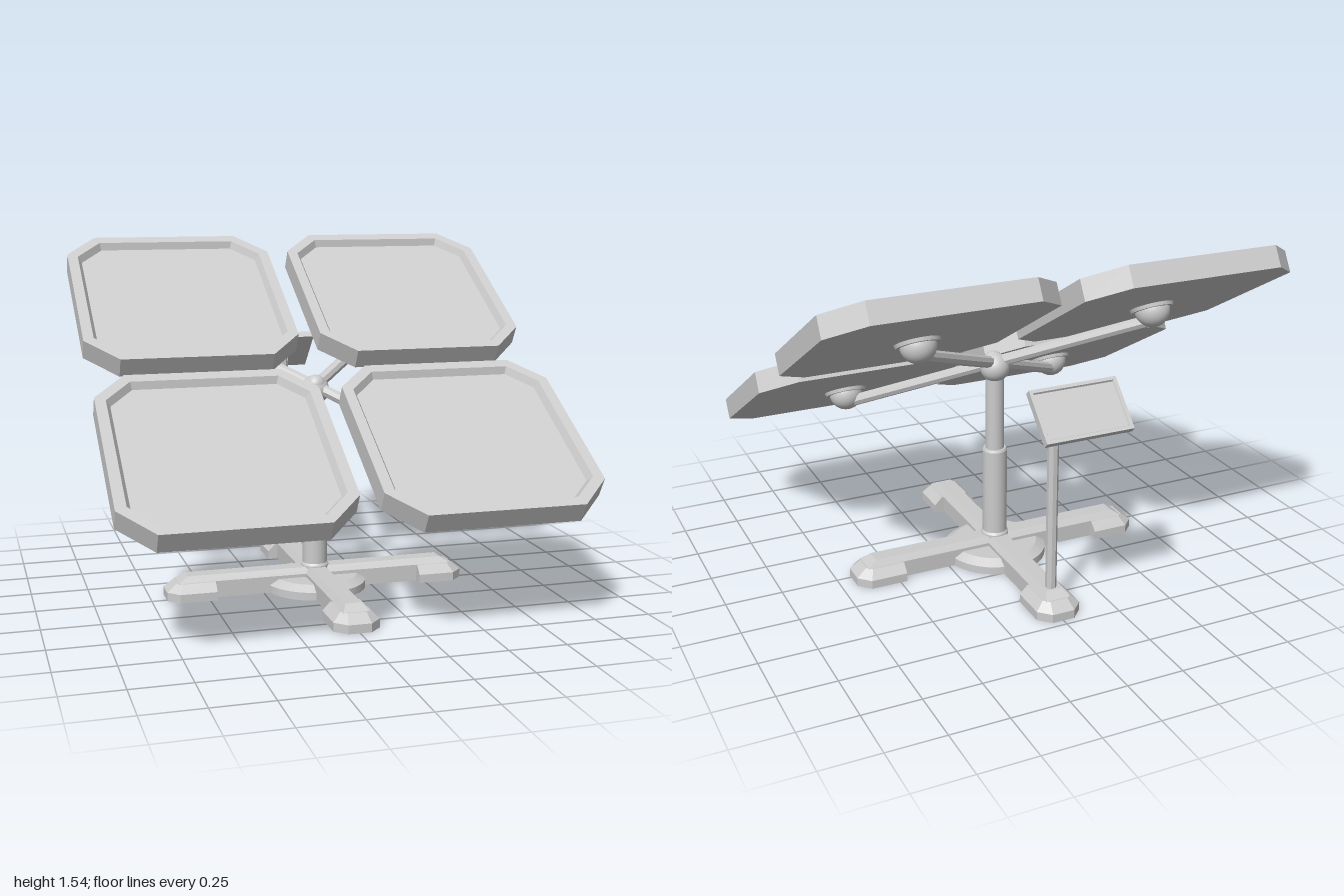
import * as THREE from 'three';

const grey = new THREE.MeshStandardMaterial({ color: 0xcccccc });

function add(parent, name, geo, x = 0, y = 0, z = 0) {
  const mesh = new THREE.Mesh(geo, grey);
  mesh.name = name;
  mesh.position.set(x, y, z);
  parent.add(mesh);
  return mesh;
}

// Flat-faced solid through a stack of horizontal rings (counterclockwise from above)
function loft(rings) {
  const pos = [];
  const tri = (a, b, c) => pos.push(...a, ...b, ...c);
  const n = rings[0].length;
  const last = rings[rings.length - 1];
  for (let k = 0; k < rings.length - 1; k++) {
    for (let i = 0; i < n; i++) {
      const j = (i + 1) % n, lo = rings[k], hi = rings[k + 1];
      tri(lo[i], lo[j], hi[j]);
      tri(lo[i], hi[j], hi[i]);
    }
  }
  for (let i = 1; i < n - 1; i++) {
    tri(rings[0][0], rings[0][i + 1], rings[0][i]);
    tri(last[0], last[i], last[i + 1]);
  }
  const geo = new THREE.BufferGeometry();
  geo.setAttribute('position', new THREE.Float32BufferAttribute(pos, 3));
  geo.computeVertexNormals();
  return geo;
}

// Rectangle with cut corners, and a plain rectangle
const cutRect = (w, d, c, y) => [
  [w, y, d - c], [w, y, c - d], [w - c, y, -d], [c - w, y, -d],
  [-w, y, c - d], [-w, y, d - c], [c - w, y, d], [w - c, y, d],
];
const rect = (w, d, y) => [[w, y, d], [w, y, -d], [-w, y, -d], [-w, y, d]];

// Foot outline: square inner end, cut outer corners
const footRing = (x, w, c, y) => [
  [x, y, w - c], [x, y, c - w], [x - c, y, -w], [0.47, y, -w], [0.47, y, w], [x - c, y, w],
];

// Straight faceted bar between two points
function bar(parent, name, a, b, radius, sides = 8) {
  const dir = b.clone().sub(a);
  const geo = new THREE.CylinderGeometry(radius, radius, dir.length(), sides).toNonIndexed();
  geo.rotateY(Math.PI / sides);
  geo.computeVertexNormals();
  const mesh = add(parent, name, geo);
  mesh.position.copy(a).add(b).multiplyScalar(0.5);
  mesh.quaternion.setFromUnitVectors(new THREE.Vector3(0, 1, 0), dir.normalize());
  return mesh;
}

function makeBase() {
  const base = new THREE.Group();
  base.name = 'base';
  add(base, 'centreDisc', new THREE.CylinderGeometry(0.19, 0.23, 0.025, 32), 0, 0.0475, 0);
  add(base, 'centreDiscRim', new THREE.CylinderGeometry(0.23, 0.23, 0.035, 32), 0, 0.0175, 0);
  const footGeo = loft([
    footRing(0.684, 0.1, 0.05, 0),
    footRing(0.684, 0.1, 0.05, 0.038),
    footRing(0.64, 0.065, 0.025, 0.074),
  ]);
  const beamGeo = loft([rect(0.63, 0.055, 0), rect(0.63, 0.055, 0.074), rect(0.59, 0.035, 0.1)]);
  for (let i = 0; i < 4; i++) {
    add(base, 'foot', footGeo).rotation.y = i * Math.PI / 2;
    if (i < 2) add(base, 'crossBeam', beamGeo).rotation.y = i * Math.PI / 2;
  }
  return base;
}

function makePanels() {
  const head = new THREE.Group();
  head.name = 'panelArray';
  const w = 0.475, d = 0.473, c = 0.14, t = 0.046;
  const ring = (s, y) => cutRect(w - s, d - s, c - 0.586 * s, y);
  const panelGeo = loft([ring(0, -t), ring(0, t), ring(0.046, t), ring(0.064, t - 0.03)]);
  const domeGeo = new THREE.SphereGeometry(0.075, 28, 14, 0, Math.PI * 2, Math.PI / 2, Math.PI / 2);
  const flangeGeo = new THREE.CylinderGeometry(0.095, 0.09, 0.016, 28);
  for (const sx of [-1, 1]) {
    for (const sz of [-1, 1]) {
      const x = sx * 0.525, z = sz * 0.526;
      add(head, 'panel', panelGeo, x, 0.121, z);
      add(head, 'mountFlange', flangeGeo, x, 0.068, z);
      add(head, 'mountDome', domeGeo, x, 0.062, z);
      bar(head, 'arm', new THREE.Vector3(0, 0.02, 0), new THREE.Vector3(x, 0.02, z), 0.026);
    }
  }
  // Hub where the four arms meet
  add(head, 'hubBall', new THREE.SphereGeometry(0.065, 28, 18));
  add(head, 'hubCap', new THREE.SphereGeometry(0.045, 24, 14), 0, 0.028, 0);
  head.position.y = 0.9;
  head.rotation.x = Math.PI / 6;
  return head;
}

function makeConsole() {
  const stand = new THREE.Group();
  stand.name = 'console';
  const z = -0.562;
  const v = (y, zz) => new THREE.Vector3(0, y, zz);
  bar(stand, 'consolePost', v(0.09, z), v(0.985, z), 0.024);
  bar(stand, 'consoleArm', v(0.968, z + 0.015), v(0.968, -0.775), 0.023);
  const r = (s, y) => rect(0.19 - s, 0.114 - s, y);
  const screen = add(stand, 'screen',
    loft([r(0, -0.016), r(0, 0.016), r(0.014, 0.016), r(0.018, 0.008)]), 0, 0.983, -0.784);
  screen.rotation.x = -Math.PI / 4;
  return stand;
}

export function createModel() {
  const model = new THREE.Group();
  model.name = 'solarPanelStand';
  const body = new THREE.Group();
  body.name = 'body';
  body.position.z = -0.036;
  model.add(body);

  body.add(makeBase(), makePanels(), makeConsole());

  // Telescoping mast
  const mast = [[0, 0.09], [0.062, 0.09], [0.062, 0.105], [0.055, 0.115], [0.055, 0.51], [0.05, 0.52], [0.041, 0.52], [0.041, 0.88]];
  for (let i = 0; i < mast.length - 1; i++) {
    const pts = [mast[i], mast[i + 1]].map(p => new THREE.Vector2(...p));
    add(body, 'mast', new THREE.LatheGeometry(pts, 24));
  }
  return model;
}
